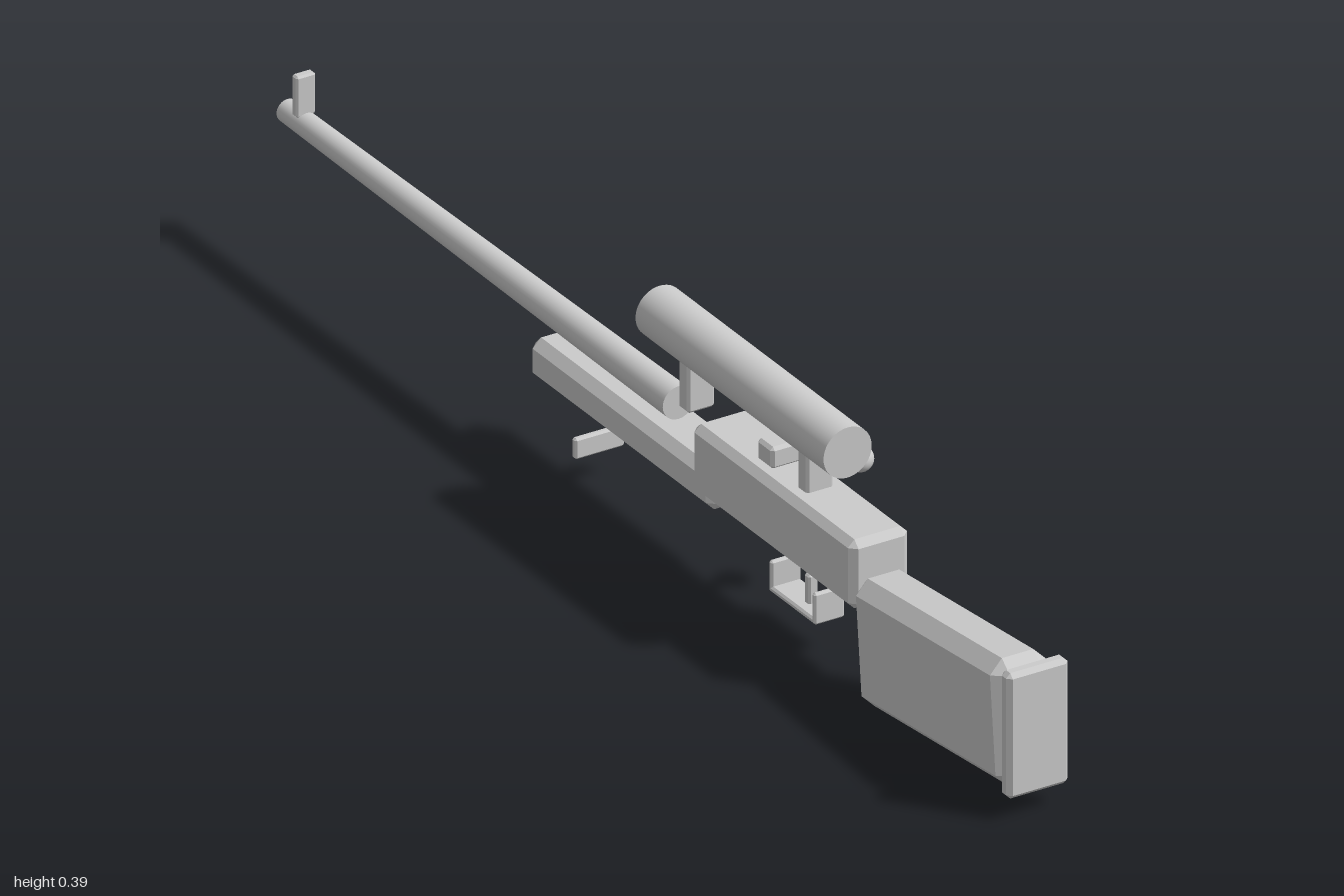
import * as THREE from 'three';
import { ConvexGeometry } from 'three/addons/geometries/ConvexGeometry.js';

const CX = -0.047; // centre line of the rifle
const material = new THREE.MeshStandardMaterial({ color: 0xcccccc });

// Box with all twelve edges chamfered by b
function chamferBox(w, h, d, b) {
  const points = [];
  for (const sx of [-1, 1]) for (const sy of [-1, 1]) for (const sz of [-1, 1]) {
    const x = w / 2, y = h / 2, z = d / 2;
    points.push(
      new THREE.Vector3(sx * x, sy * (y - b), sz * (z - b)),
      new THREE.Vector3(sx * (x - b), sy * y, sz * (z - b)),
      new THREE.Vector3(sx * (x - b), sy * (y - b), sz * z));
  }
  return new ConvexGeometry(points);
}

export function createModel() {
  const model = new THREE.Group();
  model.name = 'rifle';

  const add = (name, geometry, x, y, z, parent = model) => {
    const mesh = new THREE.Mesh(geometry, material);
    mesh.name = name;
    mesh.position.set(x, y, z);
    parent.add(mesh);
    return mesh;
  };
  // Chamfered block given by its y and z ranges
  const block = (name, w, y0, y1, z0, z1, b, parent) =>
    add(name, chamferBox(w, y1 - y0, z1 - z0, b), CX, (y0 + y1) / 2, (z0 + z1) / 2, parent);

  // Stock, sloping down towards the receiver, with its butt plate
  const stock = add('stock', chamferBox(0.094, 0.196, 0.4, 0.021), CX, 0.118, 0.773);
  stock.rotation.x = -0.096;
  block('buttPlate', 0.102, 0.037, 0.237, 0.975, 1.0, 0.007);

  // Body
  block('receiver', 0.098, 0.147, 0.257, 0.15, 0.58, 0.011);
  block('foreEnd', 0.092, 0.13, 0.196, -0.288, 0.2, 0.014);

  // Tapered barrel, dropping slightly to the muzzle
  const barrel = add('barrel', new THREE.CylinderGeometry(0.026, 0.018, 1.04, 32), CX, 0.223, -0.48);
  barrel.rotation.x = Math.PI / 2 - 0.004;
  block('frontSight', 0.032, 0.234, 0.3, -0.964, -0.949, 0.003);

  // Scope on two posts
  const scope = new THREE.Group();
  scope.name = 'scope';
  model.add(scope);
  add('scopeTube', new THREE.CylinderGeometry(0.04, 0.04, 0.5, 40), CX, 0.349, 0.24, scope)
    .rotation.x = Math.PI / 2;
  block('rearMount', 0.045, 0.25, 0.325, 0.391, 0.418, 0.004, scope);
  block('frontMount', 0.045, 0.24, 0.325, 0.075, 0.102, 0.004, scope);
  block('rearSight', 0.053, 0.255, 0.29, 0.29, 0.331, 0.005);

  // Bolt handle on the left side
  const bolt = new THREE.Group();
  bolt.name = 'bolt';
  model.add(bolt);
  add('boltHandle', new THREE.CylinderGeometry(0.0095, 0.0095, 0.11, 24), 0.015, 0.231, 0.326, bolt)
    .rotation.z = Math.PI / 2;
  add('boltKnob', new THREE.SphereGeometry(0.02, 32, 20), 0.076, 0.231, 0.326, bolt);

  // Trigger and its guard
  const guard = new THREE.Group();
  guard.name = 'triggerGuard';
  model.add(guard);
  block('guardBottom', 0.05, 0.058, 0.068, 0.319, 0.443, 0.003, guard);
  for (const z of [0.319, 0.434]) block('guardPost', 0.05, 0.06, 0.108, z, z + 0.009, 0.003, guard);
  block('trigger', 0.016, 0.065, 0.113, 0.386, 0.4, 0.003);

  // Sling bar under the fore-end
  block('slingBar', 0.082, 0.05, 0.083, -0.179, -0.168, 0.003);

  return model;
}
